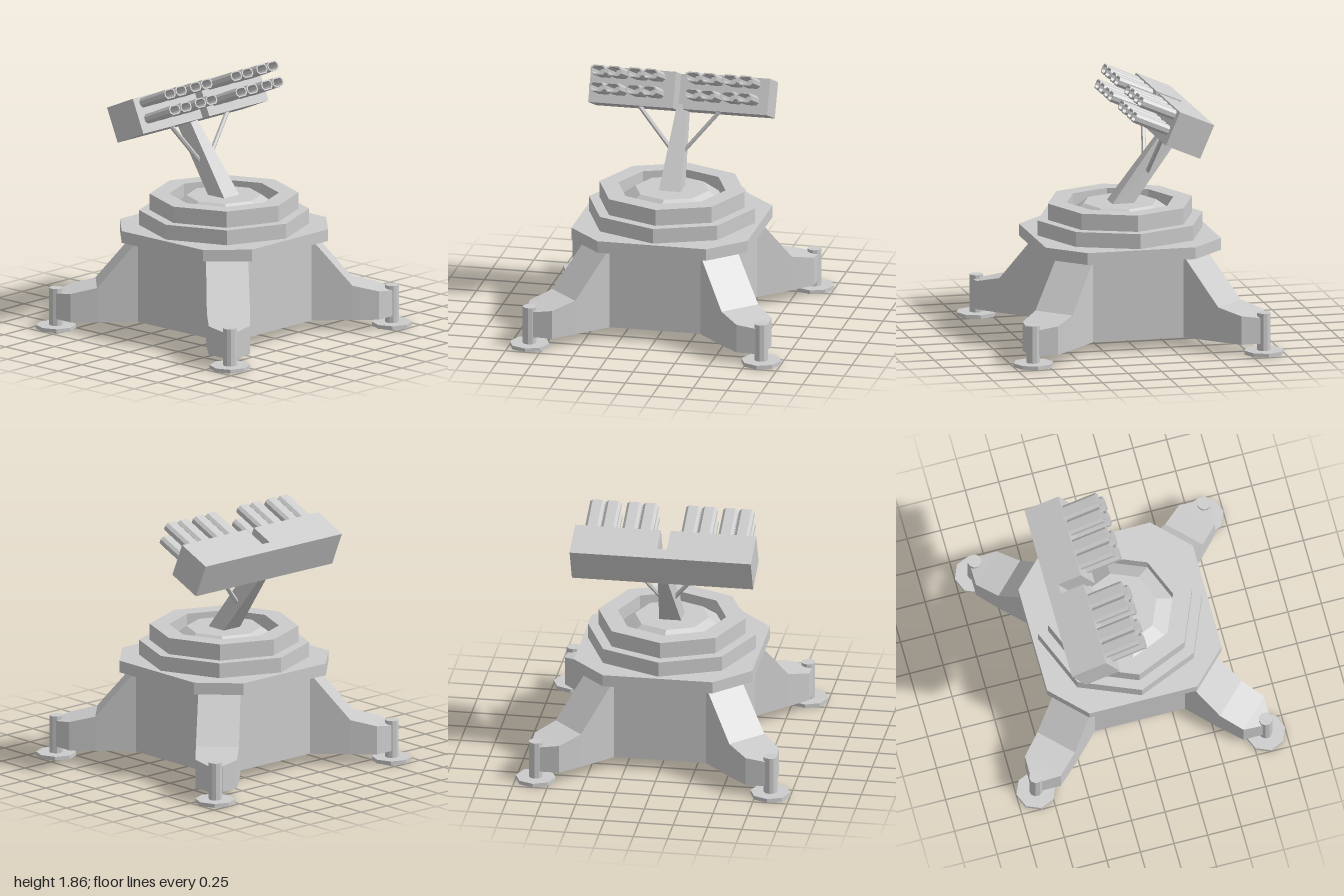
import * as THREE from 'three';

const grey = new THREE.MeshStandardMaterial({ color: 0xcccccc, flatShading: true });
const greyShell = new THREE.MeshStandardMaterial({ color: 0xcccccc, flatShading: true, side: THREE.DoubleSide });

function add(parent, name, geometry, material = grey) {
  const mesh = new THREE.Mesh(geometry, material);
  mesh.name = name;
  parent.add(mesh);
  return mesh;
}

const toV2 = (pts) => pts.map(([x, y]) => new THREE.Vector2(x, y));
const octagon = (r) => Array.from({ length: 8 }, (_, i) => [r * Math.cos(i * Math.PI / 4), r * Math.sin(i * Math.PI / 4)]);

// Straight extrusion along z, with an optional hole
function extrude(outline, depth, hole) {
  const shape = new THREE.Shape(toV2(outline));
  if (hole) shape.holes.push(new THREE.Path(toV2(hole)));
  return new THREE.ExtrudeGeometry(shape, { depth, bevelEnabled: false });
}

// Horizontal slab between two heights
const slab = (outline, y0, y1, hole) => extrude(outline, y1 - y0, hole).rotateX(-Math.PI / 2).translate(0, y0, 0);

function fromQuads(quads) {
  const pos = [];
  for (const [a, b, c, d] of quads) pos.push(...a, ...b, ...c, ...a, ...c, ...d);
  const g = new THREE.BufferGeometry();
  g.setAttribute('position', new THREE.Float32BufferAttribute(pos, 3));
  g.computeVertexNormals();
  return g;
}

// Hollow body with four diagonal legs, open underneath
function bodyShell() {
  const half = [[0.335, 0.68, 0.55], [0.54, 0.335, 0.76], [0.68, 0.29, 0.89], [0.82, 0.27, 0.89]];
  const corner = [...half, ...half.map(([x, y, z]) => [z, y, x]).reverse()];
  const turn = ([x, y, z], k) => {
    for (let i = 0; i < k; i++) [x, z] = [z, -x];
    return [x, y, z];
  };
  const quads = [], loop = [];
  for (let k = 0; k < 4; k++) {
    const c = corner.map((p) => turn(p, k));
    loop.push(...c);
    for (let i = 0; i < 3; i++) quads.push([c[i], c[i + 1], c[6 - i], c[7 - i]]);
  }
  const foot = ([x, , z]) => [x, 0.08, z];
  loop.forEach((p, i) => {
    const q = loop[(i + 1) % loop.length];
    quads.push([foot(p), foot(q), q, p]);
  });
  return fromQuads(quads);
}

// Tapered, leaning mast from two rectangular sections
function mastGeometry() {
  const section = (w, y0, z0, y1, z1) => [[-w, y0, z0], [w, y0, z0], [w, y1, z1], [-w, y1, z1]];
  const a = section(0.08, 0.975, 0.08, 0.975, -0.08);
  const b = section(0.035, 1.51, -0.32, 1.43, -0.425);
  const quads = [[a[3], a[2], a[1], a[0]], b];
  for (let i = 0; i < 4; i++) {
    const j = (i + 1) % 4;
    quads.push([a[i], a[j], b[j], b[i]]);
  }
  return fromQuads(quads);
}

function strut(a, b, r) {
  const from = new THREE.Vector3(...a), to = new THREE.Vector3(...b);
  const dir = to.clone().sub(from);
  const g = new THREE.CylinderGeometry(r, r, dir.length(), 6);
  g.applyQuaternion(new THREE.Quaternion().setFromUnitVectors(new THREE.Vector3(0, 1, 0), dir.normalize()));
  const mid = from.add(to).multiplyScalar(0.5);
  return g.translate(mid.x, mid.y, mid.z);
}

// Flattened octagon for the launch tubes
function tubeOutline(w, h, c) {
  return [[w - c, -h], [w, -h + c], [w, h - c], [w - c, h], [-w + c, h], [-w, h - c], [-w, -h + c], [-w + c, -h]];
}

export function createModel() {
  const model = new THREE.Group();
  model.name = 'launcherTurret';

  // Base
  add(model, 'legBody', bodyShell(), greyShell);
  const deck = [[0.65, -0.4], [0.65, 0.4], [0.4, 0.65], [-0.4, 0.65], [-0.65, 0.4], [-0.65, -0.4], [-0.4, -0.65], [0.4, -0.65]];
  add(model, 'deck', slab(deck, 0.675, 0.762));
  add(model, 'lowerTier', slab(octagon(0.612), 0.762, 0.872));
  add(model, 'upperTierRing', slab(octagon(0.535), 0.872, 0.992, octagon(0.395)));
  add(model, 'mastPlinth', new THREE.CylinderGeometry(0.27, 0.395, 0.09, 8).translate(0, 0.935, 0));

  // Foot pads and jack posts
  for (const sx of [-1, 1]) for (const sz of [-1, 1]) {
    const foot = new THREE.Group();
    foot.name = 'foot';
    foot.position.set(sx * 0.855, 0, sz * 0.855);
    add(foot, 'footPad', new THREE.CylinderGeometry(0.145, 0.145, 0.028, 8).translate(0, 0.014, 0));
    add(foot, 'jackPost', new THREE.CylinderGeometry(0.05, 0.05, 0.29, 10).translate(0, 0.157, 0));
    model.add(foot);
  }

  // Mast and braces
  add(model, 'mast', mastGeometry());
  for (const s of [-1, 1]) add(model, 'brace', strut([s * 0.03, 1.185, -0.19], [s * 0.31, 1.52, -0.245], 0.017));

  // Tilted launcher head, notched at the front centre
  const head = new THREE.Group();
  head.name = 'launcherHead';
  head.position.set(0, 1.591, -0.356);
  head.rotation.x = -THREE.MathUtils.degToRad(23.4);
  model.add(head);
  const plan = [[-0.66, 0.138], [0.66, 0.138], [0.66, -0.138], [0.035, -0.138], [0.035, 0.047], [-0.035, 0.047], [-0.035, -0.138], [-0.66, -0.138]];
  add(head, 'launcherBox', slab(plan.reverse(), -0.132, 0.132));

  // Two rows of hollow tubes
  const tube = extrude(tubeOutline(0.055, 0.035, 0.02), 0.27, tubeOutline(0.044, 0.026, 0.015));
  for (const shift of [0, 0.7]) for (const x of [-0.55, -0.433, -0.28, -0.163]) for (const y of [0.087, -0.034]) {
    add(head, 'launchTube', tube).position.set(x + shift, y, 0.136);
  }
  return model;
}
